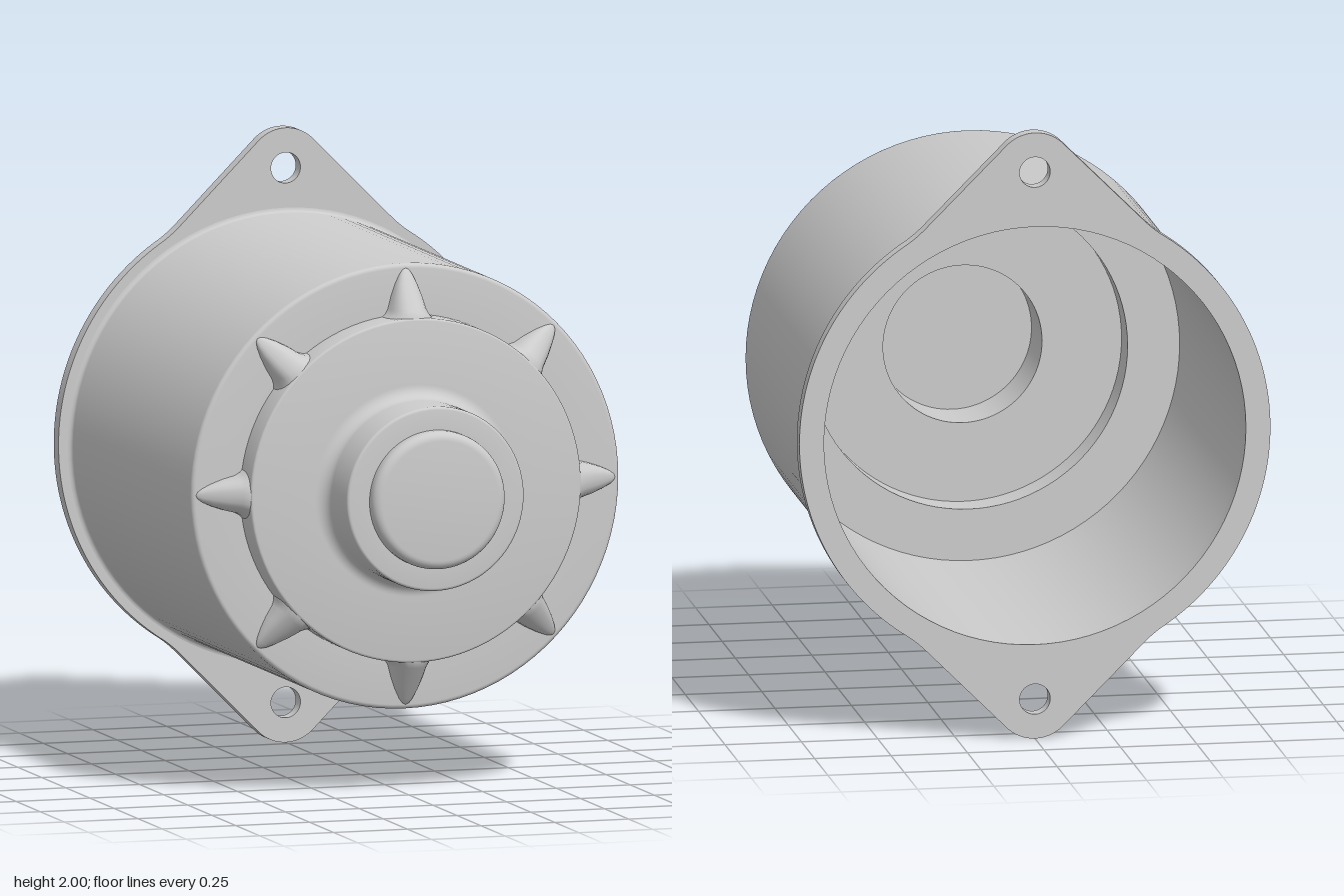
import * as THREE from 'three';
import { toCreasedNormals } from 'three/addons/utils/BufferGeometryUtils.js';

const MID = 1; // height of the axis
const FACE = 0.465; // z of the front shoulder
const material = new THREE.MeshStandardMaterial({ color: 0xcccccc });

// Keeps sharp edges sharp; enlarged meanwhile so small fillets stay distinct.
function crease(geometry, angle = 0.6) {
  geometry.deleteAttribute('uv');
  geometry.scale(100, 100, 100);
  const result = toCreasedNormals(geometry, angle);
  return result.scale(0.01, 0.01, 0.01);
}

function part(name, geometry) {
  const mesh = new THREE.Mesh(geometry, material);
  mesh.name = name;
  return mesh;
}

// Quarter round about (cr, cz) in the (radius, z) half plane.
function round(cr, cz, rad, from, to, steps = 5) {
  return Array.from({ length: steps + 1 }, (_, i) => {
    const a = THREE.MathUtils.degToRad(from + (to - from) * i / steps);
    return [cr + rad * Math.cos(a), cz + rad * Math.sin(a)];
  });
}

// Hollow can with stepped front: outside from back to front, then inside back again.
function housingGeometry() {
  const profile = [
    ...round(0.74, -0.765, 0.015, 270, 180, 4),
    ...round(0.71, FACE - 0.015, 0.015, 0, 90),
    [0.56, FACE],
    ...round(0.552, 0.567, 0.008, 0, 90, 3),
    ...round(0.345, 0.62, 0.045, 270, 180, 8),
    ...round(0.29, 0.77, 0.01, 0, 90, 4),
    [0.225, 0.78],
    ...round(0.195, 0.80, 0.03, 0, 90, 6),
    [0, 0.83],
    [0, 0.74], [0.26, 0.74], [0.26, 0.54],
    [0.52, 0.54], [0.52, 0.425],
    [0.69, 0.425], [0.69, -0.78],
  ].map(([r, z]) => new THREE.Vector2(r, z));
  return crease(new THREE.LatheGeometry(profile, 96).rotateX(Math.PI / 2));
}

// Round plate with two pointed, drilled ears.
function flangeGeometry() {
  const R = 0.77, tipR = 0.13, tipY = 0.87;
  const shape = new THREE.Shape();
  const join = 0.985; // angle where the disc meets an ear
  const jx = R * Math.cos(join), jy = R * Math.sin(join);
  shape.absarc(0, 0, R, -join, join, false);
  shape.quadraticCurveTo(0.39, 0.664, 0.355, 0.699);
  shape.absarc(0, tipY, tipR, Math.PI / 4, Math.PI * 3 / 4, false);
  shape.lineTo(-0.355, 0.699);
  shape.quadraticCurveTo(-0.39, 0.664, -jx, jy);
  shape.absarc(0, 0, R, Math.PI - join, Math.PI + join, false);
  shape.quadraticCurveTo(-0.39, -0.664, -0.355, -0.699);
  shape.absarc(0, -tipY, tipR, Math.PI * 5 / 4, Math.PI * 7 / 4, false);
  shape.lineTo(0.355, -0.699);
  shape.quadraticCurveTo(0.39, -0.664, jx, -jy);
  for (const [y, r] of [[0, 0.69], [tipY, 0.05], [-tipY, 0.05]]) {
    shape.holes.push(new THREE.Path().absarc(0, y, r, 0, Math.PI * 2, true));
  }
  const geometry = new THREE.ExtrudeGeometry(shape, { depth: 0.05, bevelEnabled: false, curveSegments: 48 });
  return crease(geometry.translate(0, 0, -0.83));
}

// Tapering rib pointing along +y: arched sections that shrink towards the rim.
function ribGeometry() {
  const sections = [ // radius, half width, height
    [0.545, 0.09, 0.109], [0.562, 0.07, 0.108], [0.58, 0.06, 0.096],
    [0.62, 0.05, 0.068], [0.66, 0.036, 0.04], [0.69, 0.022, 0.019],
    [0.705, 0.011, 0.008], [0.71, 0.001, 0.001],
  ];
  const n = 12, positions = [], index = [];
  sections.forEach(([r, w, h], i) => {
    for (let j = 0; j <= n; j++) {
      const a = Math.PI * j / n, c = Math.cos(a);
      positions.push(
        w * Math.sign(c) * Math.abs(c) ** 0.8, r,
        FACE - 0.001 + h * Math.abs(Math.sin(a)) ** 0.8);
      if (i && j) {
        const d = i * (n + 1) + j, b = d - n - 1;
        index.push(b - 1, d - 1, d, b - 1, d, b);
      }
    }
  });
  const geometry = new THREE.BufferGeometry();
  geometry.setAttribute('position', new THREE.Float32BufferAttribute(positions, 3));
  geometry.setIndex(index);
  geometry.computeVertexNormals();
  return geometry;
}

export function createModel() {
  const model = new THREE.Group();
  model.name = 'motorHousing';
  const assembly = new THREE.Group();
  assembly.name = 'housingAssembly';
  assembly.position.y = MID;
  model.add(assembly);

  assembly.add(part('housing', housingGeometry()));
  assembly.add(part('mountingFlange', flangeGeometry()));

  // Eight ribs around the raised front disc
  const ribs = new THREE.Group();
  ribs.name = 'ribs';
  const ribShape = ribGeometry();
  for (let i = 0; i < 8; i++) {
    const rib = part('rib', ribShape);
    rib.rotation.z = i * Math.PI / 4;
    ribs.add(rib);
  }
  assembly.add(ribs);
  return model;
}
